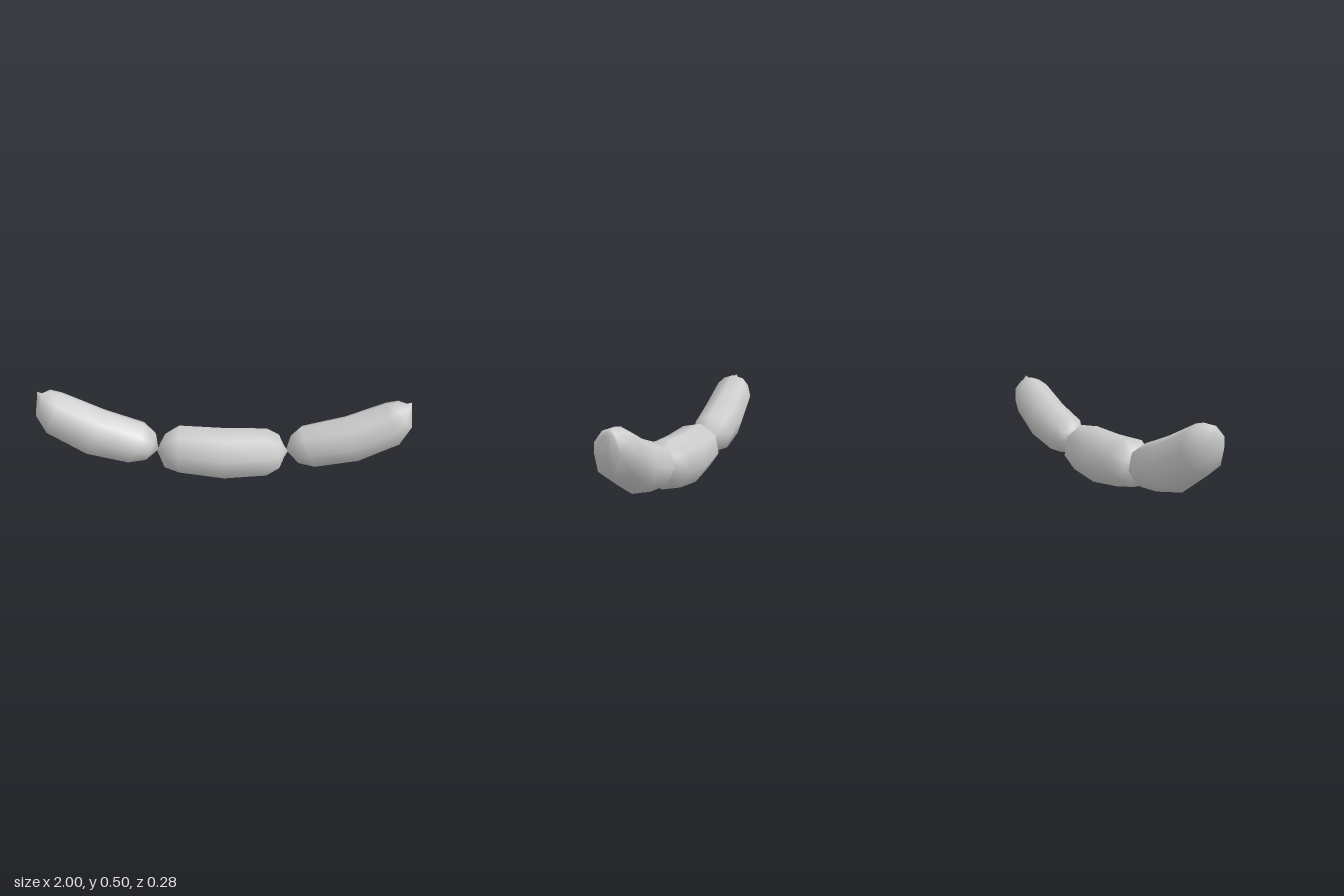
import * as THREE from 'three';

const SIDES = 8;

// Skin of one link. Each ring is [topX, topY, bottomX, bottomY, half width];
// the first and last entries are single points [x, y].
function linkGeometry(rings, z, phase) {
  const pos = [], idx = [];
  const first = rings[0], last = rings[rings.length - 1];
  const body = rings.slice(1, -1);
  pos.push(first[0], first[1], z);
  for (const [tx, ty, bx, by, w] of body) {
    for (let j = 0; j < SIDES; j++) {
      const a = phase + (j / SIDES) * Math.PI * 2;
      const s = Math.sin(a) / 2;
      pos.push((tx + bx) / 2 + s * (tx - bx), (ty + by) / 2 + s * (ty - by), z + w * Math.cos(a));
    }
  }
  pos.push(last[0], last[1], z);
  const end = pos.length / 3 - 1;
  const at = (i, j) => 1 + i * SIDES + (j % SIDES);
  for (let j = 0; j < SIDES; j++) {
    idx.push(0, at(0, j), at(0, j + 1));
    for (let i = 0; i < body.length - 1; i++) {
      idx.push(at(i, j), at(i + 1, j), at(i, j + 1));
      idx.push(at(i, j + 1), at(i + 1, j), at(i + 1, j + 1));
    }
    idx.push(at(body.length - 1, j), end, at(body.length - 1, j + 1));
  }
  const g = new THREE.BufferGeometry();
  g.setAttribute('position', new THREE.Float32BufferAttribute(pos, 3));
  g.setIndex(idx);
  g.computeVertexNormals();
  return g;
}

export function createModel() {
  const group = new THREE.Group();
  group.name = 'sausageChain';
  const skin = new THREE.MeshStandardMaterial({ color: 0xcccccc });
  skin.name = 'sausage skin grey';

  const add = (name, rings, z, phase) => {
    const mesh = new THREE.Mesh(linkGeometry(rings, z, phase), skin);
    mesh.name = name;
    group.add(mesh);
  };

  // Link on the -x side, curling up to a small nub at its free end
  add('rightSausage', [
    [-0.98, 0.505],
    [-0.955, 0.49, -0.985, 0.465, 0.025],
    [-0.91, 0.505, -1.0, 0.375, 0.085],
    [-0.85, 0.49, -0.95, 0.27, 0.115],
    [-0.63, 0.39, -0.75, 0.14, 0.122],
    [-0.42, 0.31, -0.53, 0.09, 0.118],
    [-0.365, 0.25, -0.43, 0.1, 0.08],
    [-0.355, 0.155],
  ], -0.018, 0);

  // Thicker middle link, pinched at both ends
  add('middleSausage', [
    [-0.36, 0.155],
    [-0.345, 0.2, -0.345, 0.125, 0.04],
    [-0.315, 0.255, -0.32, 0.06, 0.095],
    [-0.24, 0.302, -0.24, 0.032, 0.137],
    [0, 0.288, 0, -0.003, 0.145],
    [0.23, 0.288, 0.23, 0.017, 0.137],
    [0.295, 0.255, 0.3, 0.06, 0.095],
    [0.32, 0.2, 0.325, 0.125, 0.04],
    [0.345, 0.16],
  ], 0, THREE.MathUtils.degToRad(12));

  // Link on the +x side
  add('leftSausage', [
    [0.335, 0.16],
    [0.355, 0.24, 0.41, 0.09, 0.08],
    [0.41, 0.3, 0.5, 0.07, 0.112],
    [0.64, 0.36, 0.73, 0.11, 0.12],
    [0.85, 0.445, 0.94, 0.215, 0.115],
    [0.91, 0.455, 1.0, 0.32, 0.085],
    [0.96, 0.445, 0.99, 0.42, 0.025],
    [0.985, 0.457],
  ], -0.012, 0);

  return group;
}
